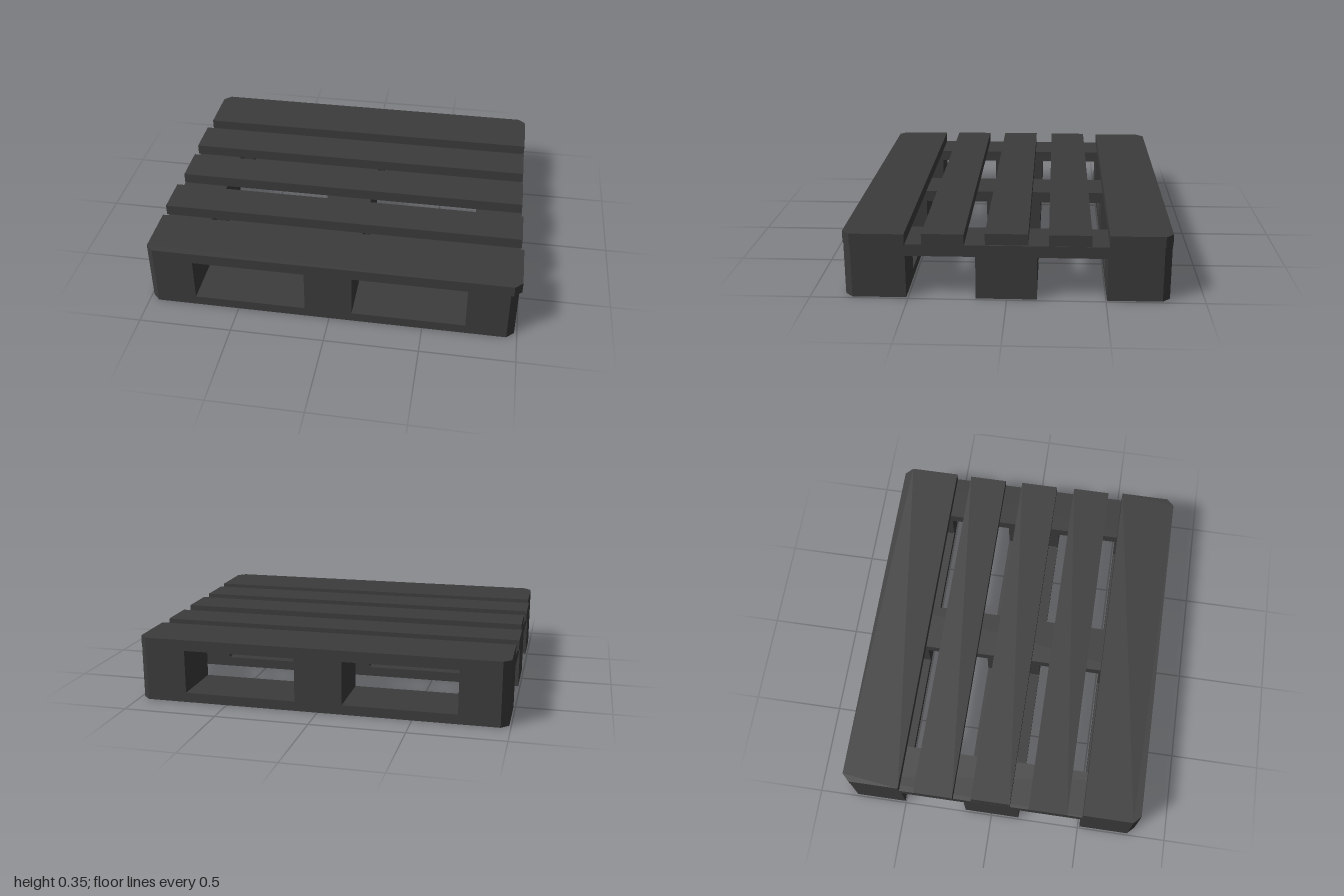
import * as THREE from 'three';

const material = new THREE.MeshStandardMaterial({ color: 0x3c3c3c });
const CUT = 0.04;

// Plank with the given extents; corners on the outside of the pallet are cut off.
function plank(name, [x0, x1], [z0, z1], [y0, y1]) {
  const corners = [[x0, z0], [x1, z0], [x1, z1], [x0, z1]];
  const points = [];
  corners.forEach(([x, z], i) => {
    if (Math.abs(x) > 0.9 && Math.abs(z) > 0.8) {
      const alongX = new THREE.Vector2(x - Math.sign(x) * CUT, -z);
      const alongZ = new THREE.Vector2(x, -(z - Math.sign(z) * CUT));
      points.push(...(i % 2 ? [alongX, alongZ] : [alongZ, alongX]));
    } else {
      points.push(new THREE.Vector2(x, -z));
    }
  });
  const geometry = new THREE.ExtrudeGeometry(new THREE.Shape(points), { depth: y1 - y0, bevelEnabled: false });
  geometry.rotateX(-Math.PI / 2);
  geometry.translate(0, y0, 0);
  const mesh = new THREE.Mesh(geometry, material);
  mesh.name = name;
  return mesh;
}

export function createModel() {
  const pallet = new THREE.Group();
  pallet.name = 'pallet';

  const rows = [[-0.825, -0.505], [-0.152, 0.157], [0.51, 0.825]];
  const columns = [[-0.99, -0.735], [-0.132, 0.122], [0.727, 0.985]];

  // Bottom runners and the nine spacer blocks on them
  rows.forEach((z) => {
    pallet.add(plank('bottomRunner', [-0.99, 0.985], z, [0, 0.052]));
    columns.forEach((x) => pallet.add(plank('spacerBlock', x, z, [0.052, 0.226])));
  });

  // Cross boards running front to back
  columns.forEach((x) => pallet.add(plank('crossBoard', x, [-0.825, 0.825], [0.226, 0.287])));

  // Deck boards, each placed slightly unevenly
  const deck = [
    [[-0.99, 0.985], [-0.828, -0.512], 0],
    [[-1, 0.982], [-0.425, -0.21], 0],
    [[-0.99, 0.983], [-0.108, 0.108], 0.003],
    [[-1, 0.99], [0.212, 0.425], 0],
    [[-0.99, 1], [0.51, 0.825], 0],
  ];
  deck.forEach(([x, z, lift]) => pallet.add(plank('deckBoard', x, z, [0.287 + lift, 0.346 + lift])));

  return pallet;
}
